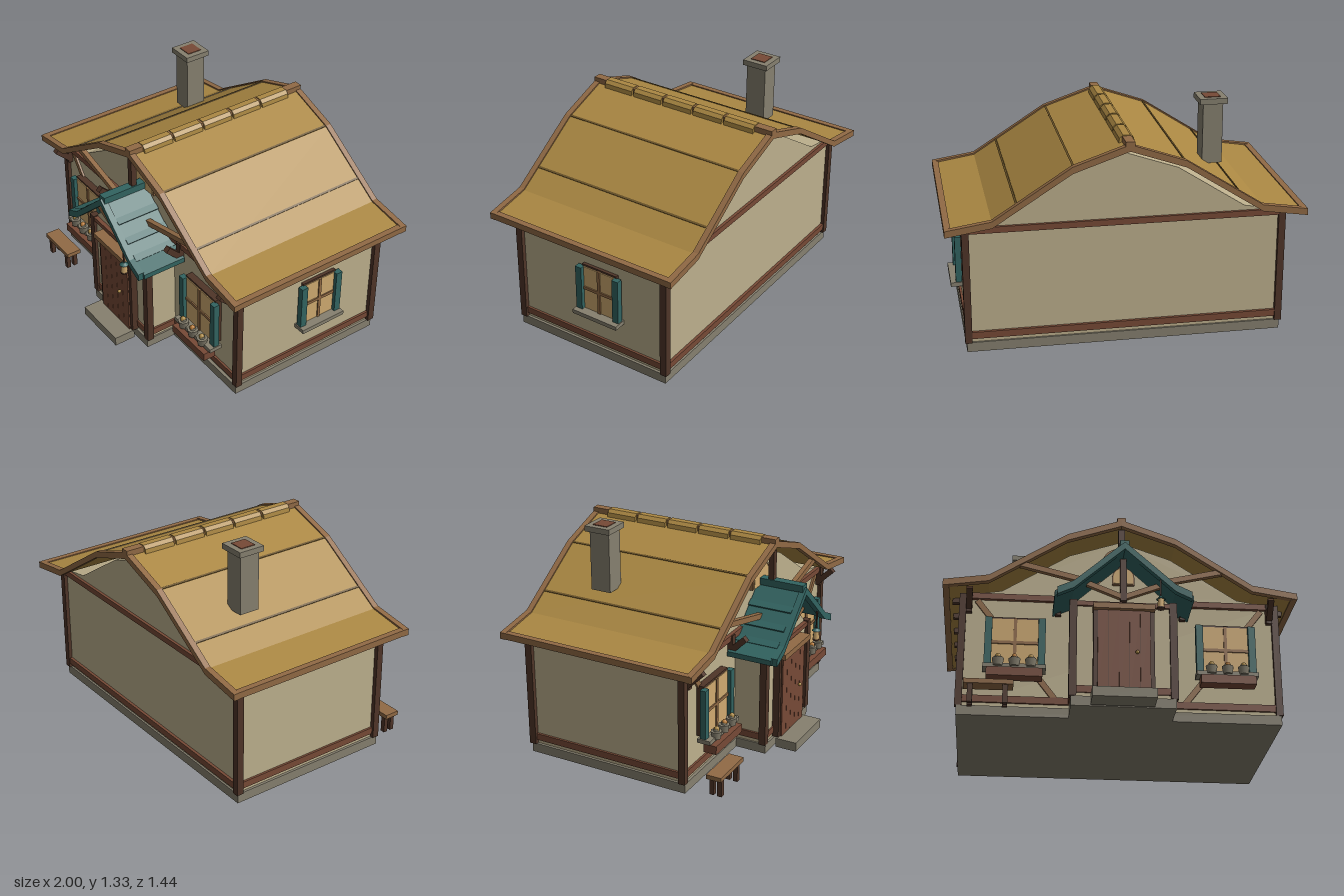
import * as THREE from 'three';

const mat = (name, color) => {
  const m = new THREE.MeshStandardMaterial({ color });
  m.name = name;
  return m;
};

export function createModel() {
  const root = new THREE.Group();
  root.name = 'cottage';
  const plaster = mat('plaster', 0xbdb08d), straw = mat('straw', 0xab8843), seamColor = mat('darkStraw', 0x6e562a);
  const darkWood = mat('darkWood', 0x4f3528), midWood = mat('midWood', 0x774a36), lightWood = mat('lightWood', 0x916a45);
  const teal = mat('teal', 0x326461), stone = mat('stone', 0x86806f), glass = mat('glass', 0xd0ab70), bloom = mat('orange', 0xb87a35);

  const add = (name, geo, m, parent = root) => {
    const mesh = new THREE.Mesh(geo, m);
    mesh.name = name;
    parent.add(mesh);
    return mesh;
  };
  // Box given by its limits on each axis
  const box = (name, m, x0, x1, y0, y1, z0, z1, parent) => {
    const b = add(name, new THREE.BoxGeometry(x1 - x0, y1 - y0, z1 - z0), m, parent);
    b.position.set((x0 + x1) / 2, (y0 + y1) / 2, (z0 + z1) / 2);
    return b;
  };
  // Straight timber between two points in a plane of constant z
  const timber = (name, m, x0, y0, x1, y1, w, z0, z1, parent) => {
    const b = add(name, new THREE.BoxGeometry(Math.hypot(x1 - x0, y1 - y0), w, z1 - z0), m, parent);
    b.position.set((x0 + x1) / 2, (y0 + y1) / 2, (z0 + z1) / 2);
    b.rotation.z = Math.atan2(y1 - y0, x1 - x0);
    return b;
  };
  const prism = (name, m, pts, z0, z1, parent) => {
    const shape = new THREE.Shape(pts.map(p => new THREE.Vector2(p[0], p[1])));
    const mesh = add(name, new THREE.ExtrudeGeometry(shape, { depth: z1 - z0, bevelEnabled: false }), m, parent);
    mesh.position.z = z0;
    return mesh;
  };
  // Symmetric bent band following half a roof profile (ridge first)
  const band = (name, m, half, up, down, z0, z1) => {
    const line = [...half.slice(1).reverse().map(p => [-p[0], p[1]]), ...half];
    const top = line.map(p => [p[0], p[1] + up]), low = line.map(p => [p[0], p[1] - down]);
    return prism(name, m, [...low, ...top.reverse()], z0, z1);
  };

  // Stone base and step
  box('foundation', stone, -0.895, 0.895, 0, 0.056, -0.616, 0.388);
  box('porchFoundation', stone, -0.285, 0.285, 0, 0.056, 0.38, 0.575);
  box('doorStep', stone, -0.18, 0.165, 0, 0.055, 0.59, 0.72);

  // Plaster walls, gables and porch
  box('walls', plaster, -0.88, 0.88, 0.05, 0.73, -0.605, 0.37);
  prism('gable', plaster, [[-0.88, 0.73], [0.88, 0.73], [0.67, 0.765], [0.29, 1.01], [0, 1.11], [-0.29, 1.01], [-0.67, 0.765]], -0.605, 0.37);
  box('porchWalls', plaster, -0.275, 0.275, 0.05, 0.62, 0.36, 0.56);
  prism('porchGable', plaster, [[-0.27, 0.62], [0.27, 0.62], [0, 0.87]], 0.36, 0.55);

  // Timber frame
  for (const s of [-1, 1]) {
    const sx = (name, m, a, b, ...r) => box(name, m, Math.min(s * a, s * b), Math.max(s * a, s * b), ...r);
    sx('frontCornerPost', darkWood, 0.865, 0.905, 0.056, 0.73, 0.352, 0.392);
    sx('backCornerPost', darkWood, 0.865, 0.905, 0.056, 0.73, -0.627, -0.585);
    sx('sideTopBeam', midWood, 0.87, 0.893, 0.7, 0.732, -0.59, 0.36);
    sx('sideSillBeam', midWood, 0.87, 0.893, 0.08, 0.12, -0.59, 0.36);
    sx('porchPost', darkWood, 0.255, 0.297, 0.056, 0.628, 0.537, 0.578);
    sx('porchSideTopBeam', midWood, 0.265, 0.287, 0.585, 0.61, 0.37, 0.54);
    sx('porchSideSill', midWood, 0.265, 0.287, 0.08, 0.12, 0.37, 0.54);
    sx('frontSillBeam', midWood, 0.28, 0.87, 0.08, 0.12, 0.36, 0.383);
    sx('porchFrontSill', midWood, 0.16, 0.26, 0.08, 0.12, 0.55, 0.568);
    timber('wallBrace', lightWood, s * 0.805, 0.695, s * 0.36, 0.11, 0.033, 0.36, 0.383);
    timber('gableStrut', lightWood, s * 0.575, 0.893, s * 0.01, 0.755, 0.032, 0.445, 0.475);
    timber('porchStrut', lightWood, s * 0.2, 0.735, 0, 0.655, 0.03, 0.55, 0.575);
    // Eave brackets
    for (const x of [0.85, 0.352]) {
      const g = new THREE.Group();
      g.name = 'eaveBracket';
      timber('bracketArm', darkWood, -0.385, 0.64, -0.475, 0.728, 0.035, -0.017, 0.017, g);
      box('bracketBack', darkWood, -0.4, -0.365, 0.615, 0.735, -0.017, 0.017, g);
      g.position.x = s * x;
      g.rotation.y = Math.PI / 2;
      root.add(g);
    }
    // Rafter tails under the eaves
    for (let i = 0; i < 5; i++) {
      const z = 0.286 - i * 0.198;
      sx('rafterTail', darkWood, 0.87, 0.947, 0.714, 0.757, z - 0.015, z + 0.015);
    }
  }
  box('frontTopBeam', midWood, -0.87, 0.87, 0.702, 0.737, 0.36, 0.392);
  box('backTopBeam', midWood, -0.87, 0.87, 0.702, 0.737, -0.622, -0.6);
  box('backSillBeam', midWood, -0.87, 0.87, 0.08, 0.12, -0.622, -0.6);
  box('porchTopBeam', midWood, -0.26, 0.26, 0.595, 0.622, 0.55, 0.575);
  box('kingPost', darkWood, -0.018, 0.018, 0.88, 1.135, 0.445, 0.478);
  box('porchKingPost', darkWood, -0.018, 0.018, 0.63, 0.89, 0.555, 0.58);

  // Main roof
  const roofLine = [[0, 1.172], [0.31, 1.065], [0.745, 0.785], [0.985, 0.745]];
  band('roof', straw, roofLine, 0.012, 0.012, -0.7, 0.47);
  const barge = [...roofLine.slice(0, 3), [1, 0.746]];
  band('frontBargeboard', lightWood, barge, 0.02, 0.018, 0.453, 0.488);
  band('backBargeboard', lightWood, barge, 0.02, 0.018, -0.72, -0.685);
  for (const s of [-1, 1]) {
    box('eaveFascia', lightWood, s * 0.982 - 0.018, s * 0.982 + 0.018, 0.73, 0.767, -0.7, 0.47);
    for (const [x, y, a] of [[0.302, 1.08, 0.4], [0.61, 0.885, 0.572]]) {
      const strip = box('roofSeam', seamColor, s * x - 0.006, s * x + 0.006, y - 0.004, y + 0.004, -0.685, 0.453);
      strip.rotation.z = -s * a;
    }
  }
  box('ridgeBeam', lightWood, -0.025, 0.025, 1.16, 1.208, -0.72, 0.488);
  for (let i = 0; i < 5; i++) {
    const z = 0.4 - i * 0.205;
    prism('ridgeCap', straw, [[-0.044, 1.165], [0.044, 1.165], [0.04, 1.195], [0.02, 1.213], [-0.02, 1.213], [-0.04, 1.195]], z - 0.19, z);
  }

  // Chimney
  box('chimneyShaft', stone, -0.592, -0.478, 0.945, 1.295, -0.375, -0.252);
  box('chimneyCap', stone, -0.614, -0.456, 1.293, 1.325, -0.394, -0.236);
  box('chimneyFlue', midWood, -0.58, -0.49, 1.32, 1.329, -0.36, -0.27);

  // Porch roof
  const porchLine = [[0, 0.92], [0.28, 0.675], [0.383, 0.628]];
  band('porchRoof', teal, porchLine, 0.015, 0.015, 0.375, 0.645);
  band('porchBargeboard', teal, [[0, 0.925], [0.28, 0.672], [0.37, 0.63]], 0.022, 0.022, 0.64, 0.677);
  box('porchRidge', teal, -0.026, 0.026, 0.922, 0.963, 0.375, 0.665);
  for (const s of [-1, 1]) for (const [x, y] of [[0.11, 0.842], [0.2, 0.763], [0.28, 0.692]]) {
    const strip = box('porchRoofCourse', teal, s * x - 0.02, s * x + 0.02, y - 0.01, y + 0.006, 0.375, 0.642);
    strip.rotation.z = -s * 0.6;
  }

  // Arched gable windows
  const arch = (name, r, y0, yc, z) => {
    const outline = k => {
      const pts = [[-r * k, yc + (y0 - yc) * k], [r * k, yc + (y0 - yc) * k]];
      for (let i = 0; i <= 12; i++) pts.push([r * k * Math.cos(i * Math.PI / 12), yc + r * k * Math.sin(i * Math.PI / 12)]);
      return pts;
    };
    prism(name + 'Frame', lightWood, outline(1), z - 0.02, z);
    prism(name + 'Glass', glass, outline(0.88), z - 0.01, z + 0.006);
  };
  arch('gableWindow', 0.105, 0.91, 0.955, 0.39);
  arch('porchWindow', 0.062, 0.735, 0.78, 0.565);

  // Door
  for (const s of [-1, 1]) box('doorJamb', darkWood, s * 0.155 - 0.012, s * 0.155 + 0.012, 0.056, 0.56, 0.55, 0.6);
  for (let i = 0; i < 5; i++) {
    const x = -0.145 + i * 0.058;
    box('doorPlank', midWood, x + 0.001, x + 0.057, 0.056, 0.556, 0.55, 0.61);
  }
  box('doorBacking', darkWood, -0.145, 0.145, 0.056, 0.556, 0.55, 0.604);
  box('doorLintel', lightWood, -0.17, 0.17, 0.555, 0.588, 0.55, 0.635);
  add('doorKnob', new THREE.SphereGeometry(0.011, 10, 8), straw).position.set(0.07, 0.302, 0.622);

  // Shuttered windows, built facing +z around x = 0
  const makeWindow = (w, y0, y1) => {
    const g = new THREE.Group();
    g.name = 'window';
    box('windowFrame', darkWood, -w - 0.012, w + 0.012, y0, y1 + 0.008, -0.02, 0.022, g);
    box('windowGlass', glass, -w, w, y0, y1 - 0.004, 0, 0.027, g);
    box('verticalBar', lightWood, -0.009, 0.009, y0, y1, 0.02, 0.034, g);
    box('horizontalBar', lightWood, -w, w, (y0 + y1) / 2 - 0.009, (y0 + y1) / 2 + 0.009, 0.02, 0.034, g);
    for (const s of [-1, 1]) box('shutter', teal, s * (w + 0.02) - 0.02, s * (w + 0.02) + 0.02, y0 + 0.003, y1 - 0.003, 0.015, 0.05, g);
    box('windowSill', stone, -w - 0.045, w + 0.045, y0 - 0.022, y0 + 0.002, 0, 0.08, g);
    root.add(g);
    return g;
  };
  const side = makeWindow(0.103, 0.297, 0.575);
  side.rotation.y = Math.PI / 2;
  side.position.set(0.877, 0, -0.183);

  for (const s of [-1, 1]) {
    const g = makeWindow(0.128, 0.274, 0.572);
    g.position.set(s * 0.588, 0, 0.39);
    // Planter and flower pots
    box('flowerBox', midWood, -0.153, 0.153, 0.193, 0.243, 0.03, 0.108, g);
    [-0.09, 0, 0.09].forEach((x, i) => {
      const pot = add('flowerPot', new THREE.CylinderGeometry(0.033, 0.026, 0.045, 8), stone, g);
      pot.position.set(x, 0.283, 0.075);
      const leaf = add('plant', new THREE.CylinderGeometry(0.018, 0.018, 0.02, 8), stone, g);
      leaf.position.set(x, 0.31, 0.075);
      const flower = add('flower', new THREE.IcosahedronGeometry(0.016, 1), i === 1 ? bloom : straw, g);
      flower.position.set(x, 0.318, 0.078);
    });
  }

  // Bench
  box('benchSeat', lightWood, -0.857, -0.59, 0.104, 0.13, 0.497, 0.588);
  for (const x of [-0.82, -0.633]) for (const z of [0.52, 0.567])
    box('benchLeg', darkWood, x - 0.014, x + 0.014, 0, 0.105, z - 0.013, z + 0.013);

  // Hanging lantern
  const lantern = new THREE.Group();
  lantern.name = 'lantern';
  lantern.position.set(0.197, 0, 0.66);
  root.add(lantern);
  add('lanternGlass', new THREE.CylinderGeometry(0.017, 0.02, 0.055, 8), glass, lantern).position.y = 0.581;
  add('lanternBase', new THREE.CylinderGeometry(0.023, 0.023, 0.008, 8), darkWood, lantern).position.y = 0.552;
  add('lanternCap', new THREE.CylinderGeometry(0.01, 0.027, 0.016, 8), teal, lantern).position.y = 0.614;
  box('lanternHook', darkWood, -0.004, 0.004, 0.615, 0.74, -0.004, 0.004, lantern);

  return root;
}
